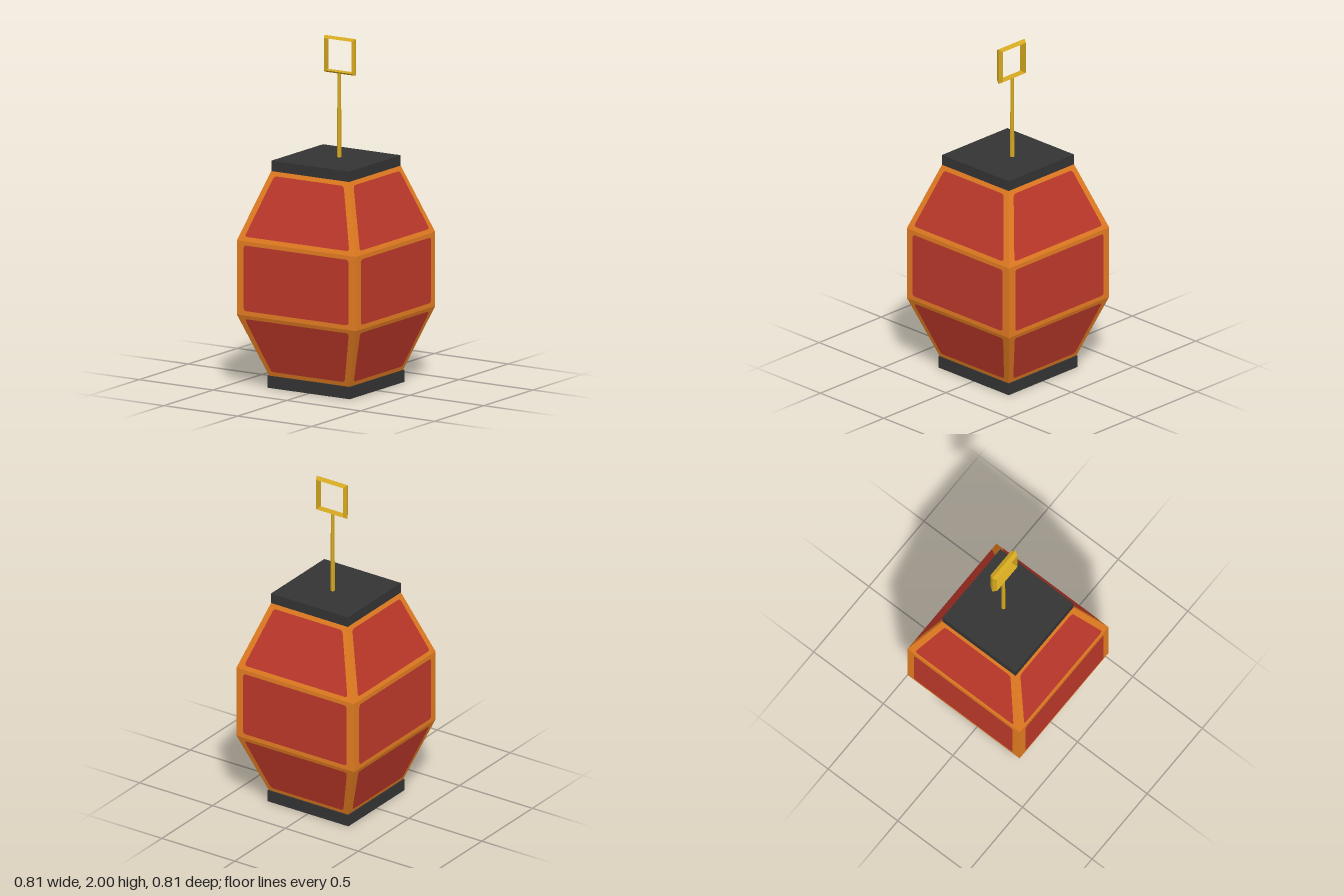
import * as THREE from 'three';

const mat = (name, color) => Object.assign(new THREE.MeshStandardMaterial({ color, flatShading: true }), { name });

export function createModel() {
  const red = mat('red paper', 0xc0392b);
  const orange = mat('orange frame', 0xe67e22);
  const dark = mat('dark cap', 0x343434);
  const gold = mat('gold metal', 0xd4a820);
  const model = new THREE.Group();

  const add = (parent, name, geometry, material, x = 0, y = 0, z = 0) => {
    const mesh = new THREE.Mesh(geometry, material);
    mesh.name = name;
    mesh.position.set(x, y, z);
    parent.add(mesh);
    return mesh;
  };

  // Trapezoid with rounded corners, centred on the origin
  const panelShape = (bottom, top, height, r) => {
    const h = height / 2;
    const pts = [[-bottom, -h], [bottom, -h], [top, h], [-top, h]].map(p => new THREE.Vector2(...p));
    const shape = new THREE.Shape();
    pts.forEach((p, i) => {
      const toward = q => p.clone().add(q.clone().sub(p).setLength(r));
      const a = toward(pts[(i + 3) % 4]), b = toward(pts[(i + 1) % 4]);
      if (i) shape.lineTo(a.x, a.y); else shape.moveTo(a.x, a.y);
      shape.quadraticCurveTo(p.x, p.y, b.x, b.y);
    });
    shape.closePath();
    return shape;
  };

  // Square end caps
  add(model, 'base', new THREE.BoxGeometry(0.555, 0.07, 0.555), dark, 0, 0.035, 0);
  add(model, 'topCap', new THREE.BoxGeometry(0.526, 0.06, 0.526), dark, 0, 1.278, 0);

  // Three body tiers: frame bottom/top (y, half width) and panel bottom/top (y, half width)
  const tiers = [
    { name: 'lower', frame: [0.07, 0.272, 0.43, 0.403], panel: [0.097, 0.248, 0.41, 0.352] },
    { name: 'middle', frame: [0.43, 0.403, 0.858, 0.403], panel: [0.457, 0.355, 0.835, 0.355] },
    { name: 'upper', frame: [0.858, 0.403, 1.248, 0.263], panel: [0.882, 0.354, 1.223, 0.235] },
  ];
  for (const { name, frame: [y0, w0, y1, w1], panel: [p0, u0, p1, u1] } of tiers) {
    const body = new THREE.CylinderGeometry(w1 * Math.SQRT2, w0 * Math.SQRT2, y1 - y0, 4, 1);
    body.rotateY(Math.PI / 4);
    add(model, name + 'Frame', body, orange, 0, (y0 + y1) / 2, 0);

    // Paper panels lie just proud of the sloping sides
    const tilt = Math.atan2(w1 - w0, y1 - y0);
    const yMid = (p0 + p1) / 2;
    const zMid = w0 + (w1 - w0) * (yMid - y0) / (y1 - y0);
    const shape = panelShape(u0, u1, (p1 - p0) / Math.cos(tilt), 0.02);
    const geometry = new THREE.ShapeGeometry(shape, 4);
    geometry.translate(0, 0, 0.003).rotateX(tilt).translate(0, yMid, zMid);
    for (let i = 0; i < 4; i++) {
      add(model, name + 'Panel', geometry, red).rotation.y = i * Math.PI / 2;
    }
  }

  // Hanging rod and square ring with a triangular section
  const hanger = new THREE.Group();
  hanger.name = 'hanger';
  hanger.position.z = -0.033;
  model.add(hanger);
  add(hanger, 'rod', new THREE.CylinderGeometry(0.01, 0.013, 0.5, 6), gold, 0, 1.55, 0);
  const ring = new THREE.TorusGeometry(0.1373, 0.0127, 3, 4);
  ring.rotateZ(Math.PI / 4).scale(1, 1, 2.1);
  add(hanger, 'ring', ring, gold, 0.005, 1.894, 0);

  return model;
}
